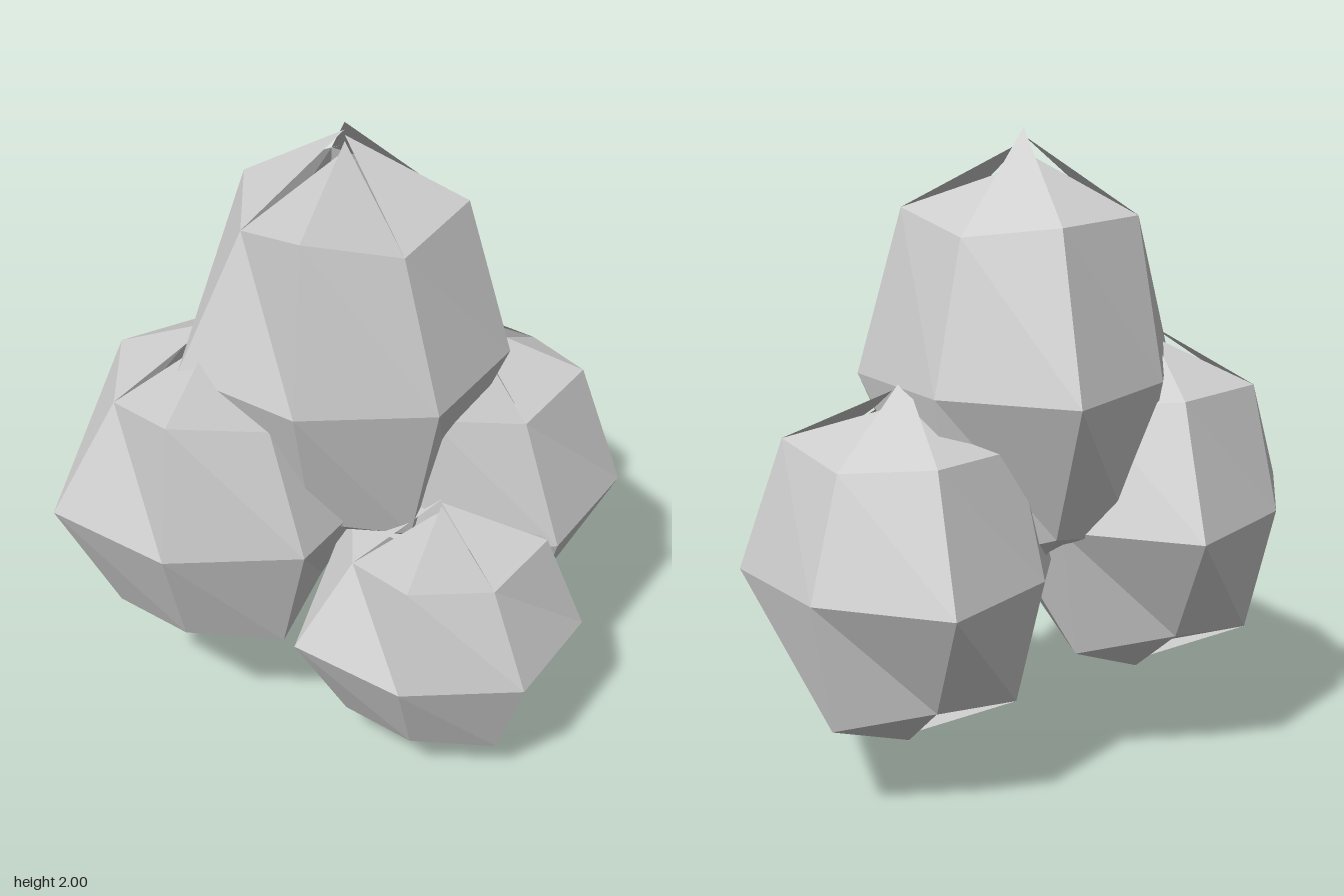
import * as THREE from 'three';

const SIDES = 7;
// Roughness factors per ring vertex, starting at +x and turning toward +z
const RINGS = [
  { lat: Math.PI / 4, f: [0.96, 1.07, 0.925, 1.13, 0.943, 1.05, 1.04] },
  { lat: 0, f: [0.955, 1.04, 1.04, 0.97, 1.11, 0.92, 1.11] },
  { lat: -Math.PI / 4, f: [1.1, 0.92, 1.07, 0.97, 1.02, 1.04, 0.95] },
];
// Each cap facet has its own tip height, which leaves chipped tips
const TOP = [0.94, 1.045, 1.015, 0.97, 1.07, 1.0, 1.106];
const BOTTOM = [1.0, 0.965, 1.085, 0.98, 1.04, 0.95, 1.08];

// Faceted seven-sided boulder with horizontal radius r and vertical radius h
function boulderGeometry(r, h) {
  const point = (ring, i) => {
    const k = i % SIDES, a = (k / SIDES) * Math.PI * 2;
    const { lat, f } = RINGS[ring];
    const c = Math.cos(lat) * r * f[k];
    return [Math.cos(a) * c, Math.sin(lat) * h * f[k], Math.sin(a) * c];
  };
  const pos = [];
  const tri = (...corners) => corners.forEach((p) => pos.push(...p));
  for (let i = 0; i < SIDES; i++) {
    tri([0, h * TOP[i], 0], point(0, i + 1), point(0, i));
    for (let ring = 0; ring < 2; ring++) {
      const ul = point(ring, i + 1), ur = point(ring, i);
      const ll = point(ring + 1, i + 1), lr = point(ring + 1, i);
      tri(ul, ll, lr);
      tri(ul, lr, ur);
    }
    tri(point(2, i + 1), [0, -h * BOTTOM[i], 0], point(2, i));
  }
  const g = new THREE.BufferGeometry();
  g.setAttribute('position', new THREE.Float32BufferAttribute(pos, 3));
  g.computeVertexNormals();
  return g;
}

export function createModel() {
  const group = new THREE.Group();
  group.name = 'rockPile';
  // Double sided because the chipped tips are open
  const stone = new THREE.MeshStandardMaterial({
    color: 0xcccccc, flatShading: true, side: THREE.DoubleSide,
  });
  stone.name = 'pale stone grey';

  // name, horizontal radius, vertical radius, centre
  const boulders = [
    ['topBoulder', 0.48, 0.66, [0, 1.27, -0.1]],
    ['leftBoulder', 0.48, 0.53, [0.355, 0.715, 0.082]],
    ['backRightBoulder', 0.48, 0.53, [-0.335, 0.825, -0.322]],
    ['frontBoulder', 0.432, 0.41, [0, 0.445, 0.305]],
  ];
  for (const [name, r, h, centre] of boulders) {
    const mesh = new THREE.Mesh(boulderGeometry(r, h), stone);
    mesh.name = name;
    mesh.position.set(...centre);
    group.add(mesh);
  }
  return group;
}
